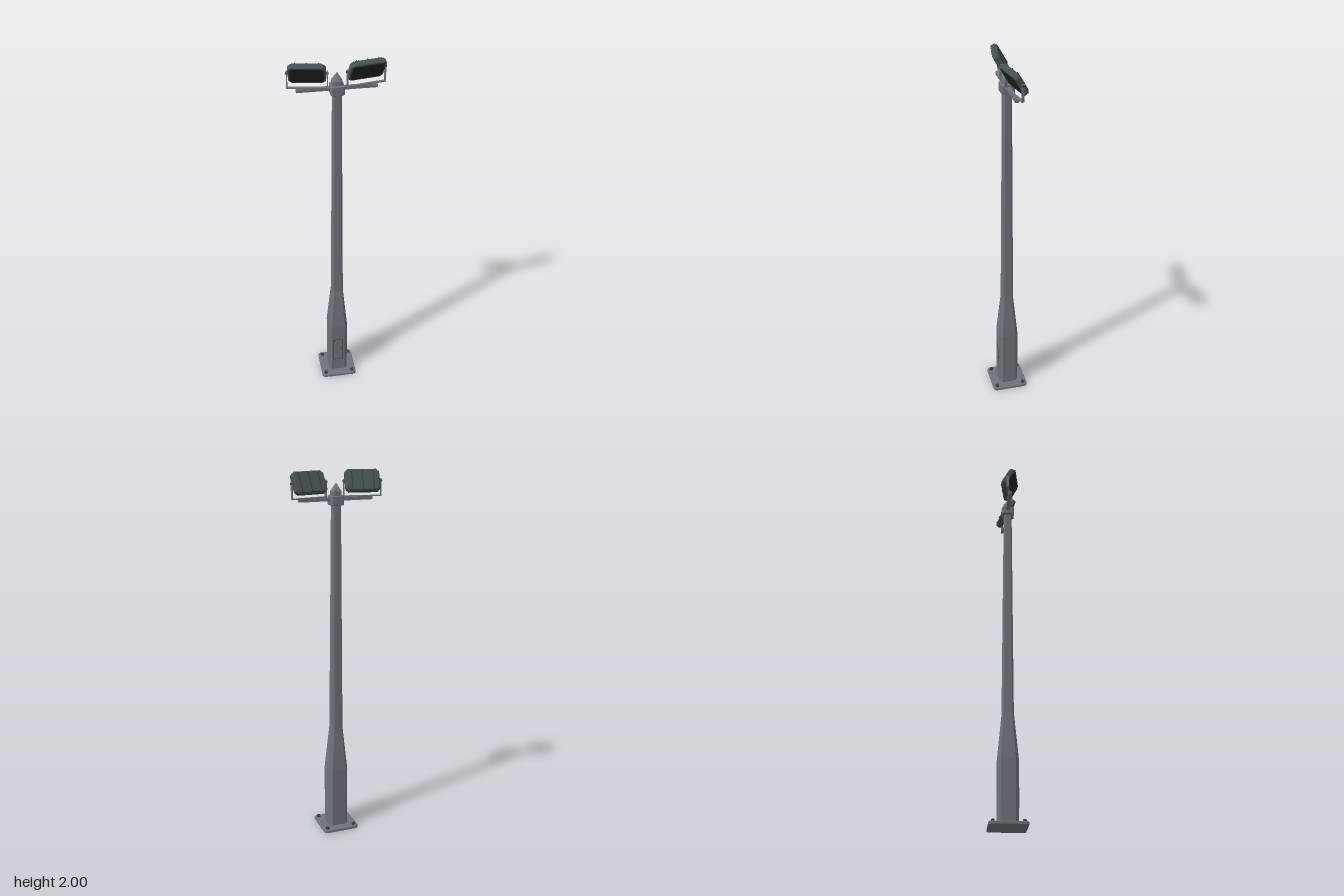
import * as THREE from 'three';

const mat = (name, color) => {
  const m = new THREE.MeshStandardMaterial({ color });
  m.name = name;
  return m;
};

// Loft of chamfered rectangles along y; each section is [y, halfX, halfZ, chamfer]
function loft(sections) {
  const rings = sections.map(([y, a, b, c]) => [
    [a, b - c], [a - c, b], [c - a, b], [-a, b - c],
    [-a, c - b], [c - a, -b], [a - c, -b], [a, c - b],
  ].map(([x, z]) => [x, y, z]));
  const pos = [];
  const tri = (...pts) => pts.forEach((p) => pos.push(...p));
  for (let i = 0; i < rings.length - 1; i++) {
    for (let j = 0; j < 8; j++) {
      const k = (j + 1) % 8, lo = rings[i], hi = rings[i + 1];
      tri(lo[j], hi[k], lo[k]);
      tri(lo[j], hi[j], hi[k]);
    }
  }
  const first = rings[0], last = rings[rings.length - 1];
  for (let j = 1; j < 7; j++) {
    tri(first[0], first[j], first[j + 1]);
    tri(last[0], last[j + 1], last[j]);
  }
  const g = new THREE.BufferGeometry();
  g.setAttribute('position', new THREE.Float32BufferAttribute(pos, 3));
  g.computeVertexNormals();
  return g;
}

export function createModel() {
  const steel = mat('galvanised steel', 0x6e737b);
  const housing = mat('lamp housing', 0x475153);
  const glass = mat('dark glass', 0x222324);
  const dark = mat('dark fittings', 0x363c3f);

  const model = new THREE.Group();
  model.name = 'floodlightPole';
  const add = (parent, name, geo, material, x = 0, y = 0, z = 0) => {
    const m = new THREE.Mesh(geo, material);
    m.name = name;
    m.position.set(x, y, z);
    parent.add(m);
    return m;
  };
  const box = (w, h, d) => new THREE.BoxGeometry(w, h, d);

  // Base plate with four anchor bolts
  add(model, 'basePlate', loft([[0, 0.1, 0.1, 0.012], [0.012, 0.1, 0.1, 0.012], [0.015, 0.097, 0.097, 0.011]]), steel);
  for (const x of [-0.078, 0.078]) {
    for (const z of [-0.078, 0.078]) {
      add(model, 'anchorBolt', loft([[0.014, 0.009, 0.009, 0.001], [0.024, 0.009, 0.009, 0.001], [0.027, 0.006, 0.006, 0.001]]), dark, x, 0, z);
    }
  }

  // Chamfered square mast
  add(model, 'mast', loft([
    [0.014, 0.054, 0.054, 0.016], [0.35, 0.054, 0.054, 0.016],
    [0.6, 0.031, 0.031, 0.01], [1.84, 0.022, 0.022, 0.007],
  ]), steel);

  // Collar and pointed cap
  add(model, 'collar', loft([
    [1.822, 0.031, 0.031, 0.007], [1.826, 0.035, 0.035, 0.008],
    [1.868, 0.035, 0.035, 0.008], [1.872, 0.031, 0.031, 0.007],
  ]), steel);
  add(model, 'cap', loft([
    [1.87, 0.025, 0.025, 0.008], [1.893, 0.025, 0.025, 0.008], [1.934, 0.0006, 0.0006, 0.0002],
  ]), steel);

  // Service door, its border and lock on the front of the mast
  add(model, 'doorBorder', box(0.056, 0.156, 0.004), dark, 0, 0.172, 0.0535);
  add(model, 'serviceDoor', box(0.05, 0.15, 0.004), steel, 0, 0.172, 0.0545);
  const lock = add(model, 'doorLock', new THREE.CylinderGeometry(0.004, 0.004, 0.005, 8), dark, 0.016, 0.178, 0.0565);
  lock.rotation.x = Math.PI / 2;

  // Cross arm
  add(model, 'crossArm', box(0.4, 0.016, 0.02), steel, 0, 1.852, 0);

  // A tilted floodlight in a U bracket on each side, both turned outward
  for (const side of [-1, 1]) {
    const unit = new THREE.Group();
    unit.name = side > 0 ? 'leftFloodlight' : 'rightFloodlight';
    unit.position.set(side * 0.145, 1.94, 0);
    unit.rotation.y = side * THREE.MathUtils.degToRad(10);
    model.add(unit);

    add(unit, 'bracketBar', box(0.198, 0.006, 0.014), steel, 0, -0.077, 0);
    for (const s of [-1, 1]) {
      add(unit, 'bracketUpright', box(0.005, 0.09, 0.014), steel, s * 0.0975, -0.035, 0);
      const knob = add(unit, 'pivotKnob', new THREE.CylinderGeometry(0.006, 0.006, 0.018, 8), dark, s * 0.095, 0, 0);
      knob.rotation.z = Math.PI / 2;
    }

    const lamp = new THREE.Group();
    lamp.name = 'lamp';
    lamp.rotation.x = THREE.MathUtils.degToRad(30);
    unit.add(lamp);
    const body = add(lamp, 'housing', loft([
      [-0.017, 0.083, 0.053, 0.012], [-0.009, 0.091, 0.06, 0.015],
      [0.012, 0.091, 0.06, 0.015], [0.016, 0.088, 0.057, 0.014],
    ]), housing);
    body.rotation.x = Math.PI / 2;
    const pane = add(lamp, 'glassPane', loft([[0, 0.081, 0.049, 0.01], [0.003, 0.081, 0.049, 0.01]]), glass, 0, 0, 0.0145);
    pane.rotation.x = Math.PI / 2;
    for (const x of [-0.056, 0, 0.056]) {
      add(lamp, 'coolingFin', box(0.004, 0.108, 0.006), dark, x, 0, -0.0175);
    }
  }
  return model;
}
